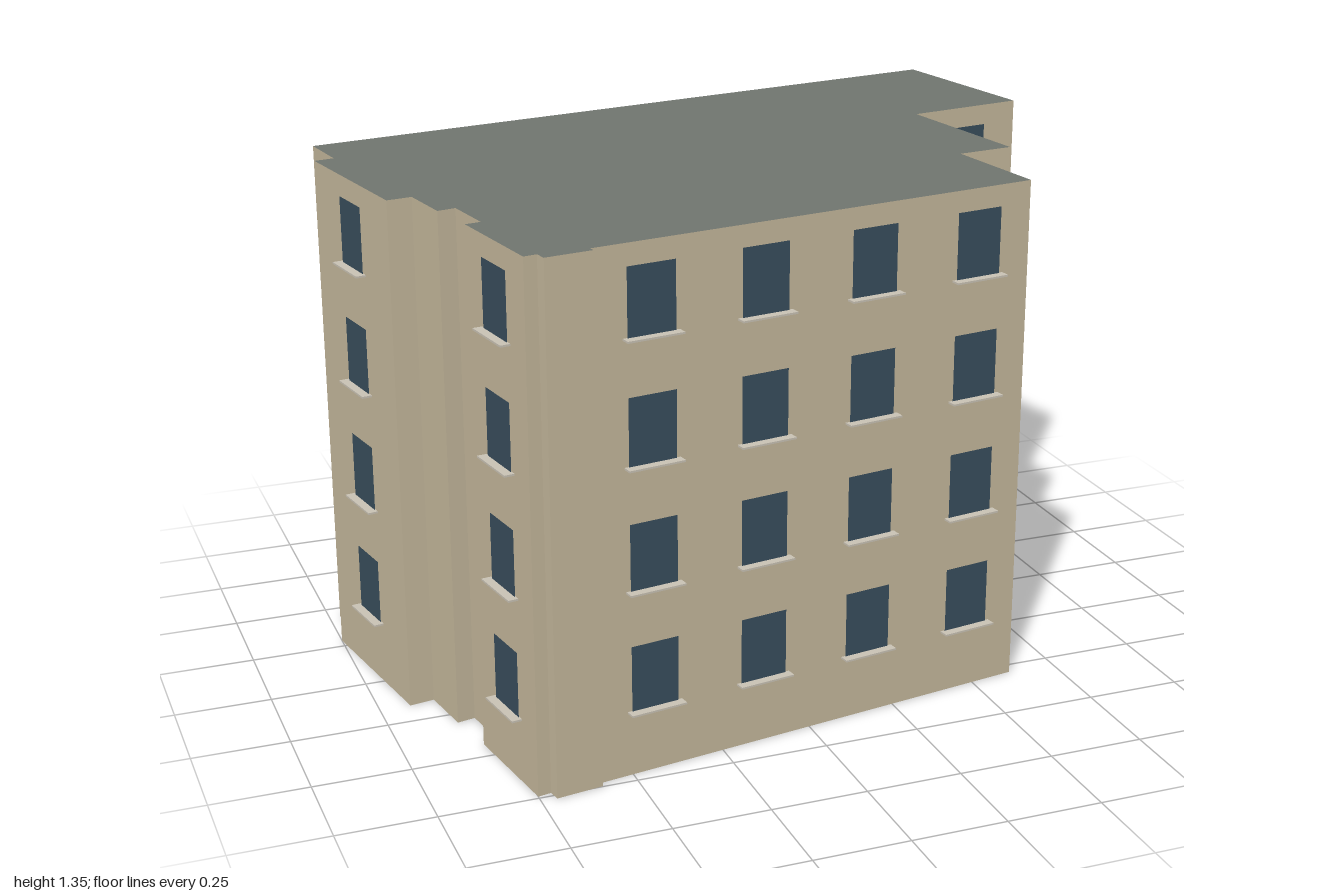
import * as THREE from 'three';

const HEIGHT = 1.35;
const FLOORS = 4;

// Footprint corners [x, z], running clockwise as seen from above
const PLAN = [
  [-0.97, -0.445], [0.91, -0.76], [0.995, -0.275], [0.665, -0.218], [0.73, 0.215],
  [0.577, 0.235], [0.62, 0.54], [-0.59, 0.732], [-0.588, 0.748], [-0.71, 0.767],
  [-0.716, 0.735], [-0.75, 0.742], [-0.8, 0.437], [-0.76, 0.43], [-0.783, 0.29],
  [-0.83, 0.3], [-0.855, 0.152], [-0.92, 0.163], [-1, -0.285], [-0.948, -0.295],
];

// Windows per floor on each wall, keyed by the wall's first corner
const WINDOWS = { 0: 6, 1: 1, 2: 1, 3: 1, 5: 1, 6: 4, 11: 1, 17: 1 };

const paint = (color) => new THREE.MeshStandardMaterial({ color, roughness: 0.9 });

export function createModel() {
  const building = new THREE.Group();
  building.name = 'apartmentBuilding';
  const wallMat = paint(0xc4b79b);
  const roofMat = paint(0x70756f);
  const glassMat = paint(0x384d5c);
  const sillMat = paint(0xc9c2b4);

  // Walls with flat roof and underside
  const outline = new THREE.Shape(PLAN.map(([x, z]) => new THREE.Vector2(x, -z)));
  const shell = new THREE.ExtrudeGeometry(outline, { depth: HEIGHT, bevelEnabled: false });
  shell.rotateX(-Math.PI / 2);
  const body = new THREE.Mesh(shell, [roofMat, wallMat]);
  body.name = 'wallsAndRoof';
  building.add(body);

  // Flush panes and thin projecting sills, evenly spaced along each wall
  const paneGeo = new THREE.PlaneGeometry(0.128, 0.172);
  const sillGeo = new THREE.BoxGeometry(0.15, 0.005, 0.026);
  for (const [key, count] of Object.entries(WINDOWS)) {
    const i = Number(key);
    const [ax, az] = PLAN[i];
    const [bx, bz] = PLAN[(i + 1) % PLAN.length];
    for (let c = 0; c < count; c++) {
      const t = (c + 0.5) / count;
      for (let f = 0; f < FLOORS; f++) {
        const unit = new THREE.Group();
        unit.name = 'window';
        const pane = new THREE.Mesh(paneGeo, glassMat);
        pane.name = 'pane';
        pane.position.z = 0.003;
        const sill = new THREE.Mesh(sillGeo, sillMat);
        sill.name = 'sill';
        sill.position.set(0, -0.088, 0.013);
        unit.add(pane, sill);
        unit.position.set(ax + (bx - ax) * t, 0.258 + f * 0.317, az + (bz - az) * t);
        unit.rotation.y = Math.atan2(bz - az, ax - bx);
        building.add(unit);
      }
    }
  }
  return building;
}
